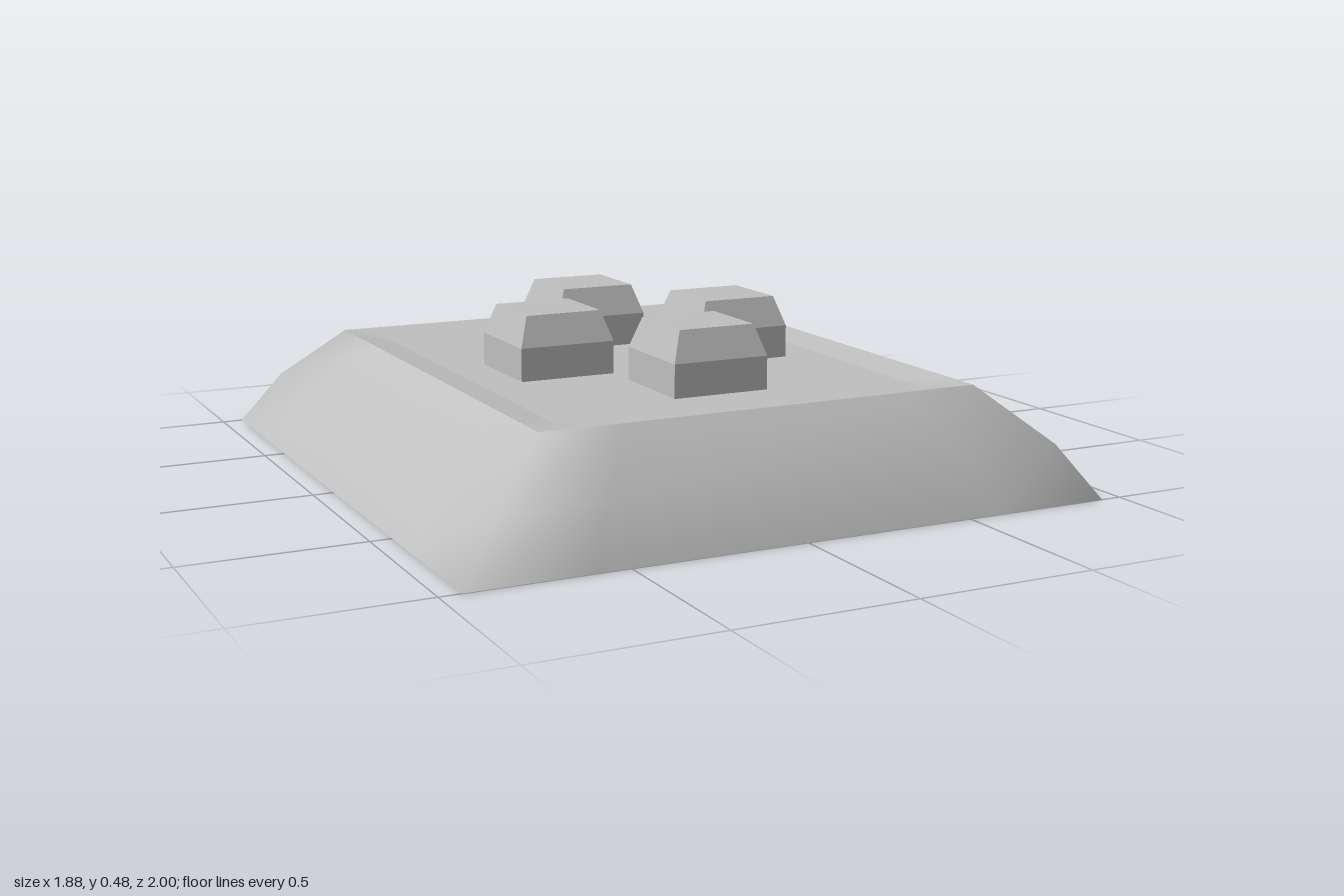
import * as THREE from 'three';

const grey = new THREE.MeshStandardMaterial({ color: 0xc0c0c0, side: THREE.DoubleSide });
grey.name = 'plain grey';

// Rectangular ring; inset > 0 adds points beside each corner so smooth shading stays near the corners
function ring([hx, hz, y], inset) {
  const corners = [[hx, hz], [hx, -hz], [-hx, -hz], [-hx, hz]];
  const points = [];
  corners.forEach(([x, z], i) => {
    points.push([x, y, z]);
    if (!inset) return;
    const [nx, nz] = corners[(i + 1) % 4];
    for (const t of [inset, 1 - inset]) points.push([x + (nx - x) * t, y, z + (nz - z) * t]);
  });
  return points;
}

// Walls joining a stack of rings given as [half width, half depth, height]
function loft(levels, inset = 0) {
  const rings = levels.map(level => ring(level, inset));
  const n = rings[0].length;
  const index = [];
  for (let k = 0; k < rings.length - 1; k++) {
    for (let i = 0; i < n; i++) {
      const j = (i + 1) % n, a = k * n, b = a + n;
      index.push(a + i, a + j, b + j, a + i, b + j, b + i);
    }
  }
  const geometry = new THREE.BufferGeometry();
  geometry.setAttribute('position', new THREE.Float32BufferAttribute(rings.flat(2), 3));
  geometry.setIndex(index);
  geometry.computeVertexNormals();
  return geometry;
}

function addMesh(parent, name, geometry) {
  const mesh = new THREE.Mesh(geometry, grey);
  mesh.name = name;
  parent.add(mesh);
  return mesh;
}

function rectangle(target, hx, hz, cx = 0, cz = 0) {
  target.moveTo(cx - hx, cz - hz);
  target.lineTo(cx + hx, cz - hz);
  target.lineTo(cx + hx, cz + hz);
  target.lineTo(cx - hx, cz + hz);
  target.closePath();
  return target;
}

export function createModel() {
  const model = new THREE.Group();
  model.name = 'studdedBase';
  const panelY = 0.295, half = 0.143;
  const studs = [[0, -0.386], [0, 0.386], [-0.285, 0], [0.285, 0]];

  // Open-bottomed sloping skirt and the shallow rim around the top
  addMesh(model, 'skirt', loft([[0.94, 1, 0], [0.825, 0.932, 0.155], [0.65, 0.785, 0.31]], 0.18));
  addMesh(model, 'rim', loft([[0.65, 0.785, 0.31], [0.55, 0.665, panelY]], 0.08));

  // Recessed panel, open beneath each hollow stud
  const shape = rectangle(new THREE.Shape(), 0.55, 0.665);
  for (const [x, z] of studs) shape.holes.push(rectangle(new THREE.Path(), half, half, x, -z));
  const panel = addMesh(model, 'panel', new THREE.ShapeGeometry(shape).rotateX(-Math.PI / 2));
  panel.position.y = panelY;

  // Hollow studs with chamfered upper walls
  const walls = loft([[half, half, panelY], [half, half, 0.39], [0.114, 0.114, 0.477]]).toNonIndexed();
  walls.computeVertexNormals();
  const cap = new THREE.PlaneGeometry(0.228, 0.228).rotateX(-Math.PI / 2).translate(0, 0.477, 0);
  for (const [x, z] of studs) {
    const stud = new THREE.Group();
    stud.name = 'stud';
    stud.position.set(x, 0, z);
    addMesh(stud, 'studWalls', walls);
    addMesh(stud, 'studTop', cap);
    model.add(stud);
  }
  return model;
}
